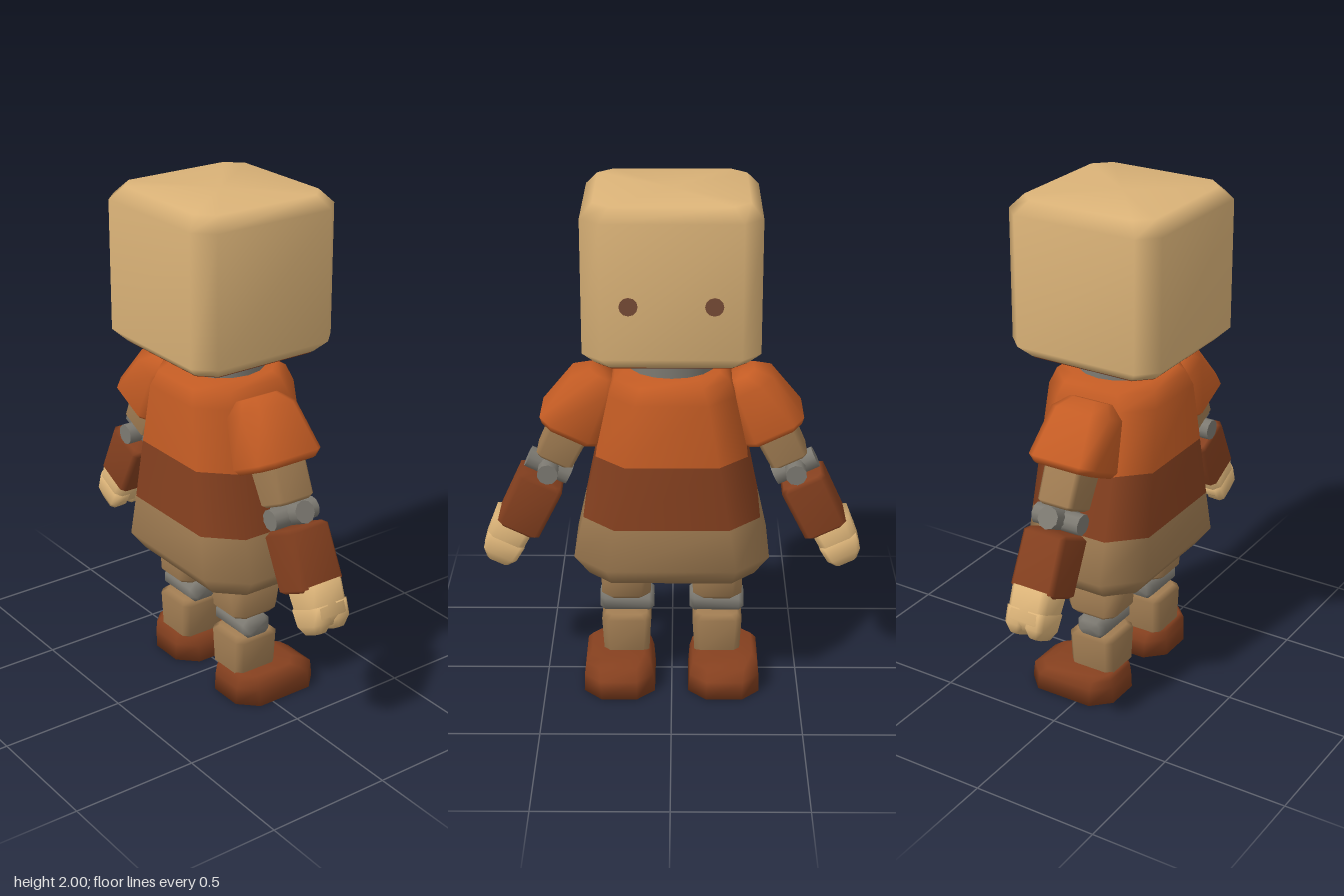
import * as THREE from 'three';

const mat = (name, color) => {
  const m = new THREE.MeshStandardMaterial({ color });
  m.name = name;
  return m;
};

// Stacks chamfered-rectangle rings [y, centreX, halfX, centreZ, halfZ, chamfer] from bottom to top.
// slots gives the material index of each band between rings.
function loft(rings, slots) {
  const pos = [], idx = [];
  const g = new THREE.BufferGeometry();
  for (const [y, cx, hx, cz, hz, c] of rings) {
    const outline = [[c - hx, hz], [hx - c, hz], [hx, hz - c], [hx, c - hz],
      [hx - c, -hz], [c - hx, -hz], [-hx, c - hz], [-hx, hz - c]];
    for (const [x, z] of outline) pos.push(cx + x, y, cz + z);
  }
  const n = rings.length, last = (n - 1) * 8;
  const low = n * 8, high = low + 1;
  for (const r of [rings[0], rings[n - 1]]) pos.push(r[1], r[0], r[3]);
  const slot = (k) => (slots ? slots[k] : 0);
  for (let k = 0; k < n - 1; k++) {
    const start = idx.length;
    for (let i = 0; i < 8; i++) {
      const j = (i + 1) % 8, a = k * 8 + i, b = k * 8 + j;
      if (k === 0) idx.push(low, b, a);
      idx.push(a, b, b + 8, a, b + 8, a + 8);
      if (k === n - 2) idx.push(high, last + i, last + j);
    }
    g.addGroup(start, idx.length - start, slot(k));
  }
  g.setAttribute('position', new THREE.Float32BufferAttribute(pos, 3));
  g.setIndex(idx);
  g.computeVertexNormals();
  return g;
}

// Bevelled block between two heights; the upper end may be a different size.
function block(y0, y1, cx, cz, lower, upper, bevel) {
  const [ax, az] = lower, [bx, bz] = upper, c = bevel * 1.3;
  return loft([
    [y0, cx, ax - bevel, cz, az - bevel, c],
    [y0 + bevel, cx, ax, cz, az, c],
    [y1 - bevel, cx, bx, cz, bz, c],
    [y1, cx, bx - bevel, cz, bz - bevel, c],
  ]);
}

export function createModel() {
  const skin = mat('pale wood', 0xdbb378);
  const orange = mat('orange cloth', 0xc45c24);
  const rust = mat('rust cloth', 0x85401f);
  const tan = mat('tan wood', 0xa07c52);
  const grey = mat('grey joint', 0x7d7a72);
  const brown = mat('eye brown', 0x784c36);

  const model = new THREE.Group();
  model.name = 'blockFigure';
  const add = (parent, name, geometry, material) => {
    const m = new THREE.Mesh(geometry, material);
    m.name = name;
    parent.add(m);
    return m;
  };

  // Head with bevelled edges and a dark underside
  add(model, 'head', loft([
    [1.405, 0, 0.275, 0, 0.28, 0.06],
    [1.45, 0, 0.32, 0, 0.325, 0.07],
    [1.95, 0, 0.32, 0, 0.325, 0.07],
    [2.0, 0, 0.275, 0, 0.28, 0.06],
  ]), skin);
  add(model, 'headUnderside', loft([
    [1.4, 0, 0.27, 0, 0.275, 0.06],
    [1.406, 0, 0.27, 0, 0.275, 0.06],
  ]), rust);
  for (const s of [1, -1]) {
    const eye = add(model, 'eye', new THREE.CylinderGeometry(0.034, 0.034, 0.006, 12), brown);
    eye.rotation.z = -Math.PI / 2;
    eye.position.set(0.32, 1.65, s * 0.153);
  }

  // Neck
  const neck = add(model, 'neck', new THREE.CylinderGeometry(0.165, 0.165, 0.16, 16), grey);
  neck.position.set(0.005, 1.35, 0);

  // Flared tunic in three colour bands
  add(model, 'tunic', loft([
    [0.503, 0.01, 0.215, 0, 0.32, 0.09],
    [0.58, 0.01, 0.272, 0, 0.376, 0.13],
    [0.75, 0.01, 0.263, 0, 0.338, 0.12],
    [1.0, 0.007, 0.25, 0, 0.287, 0.11],
    [1.24, 0.005, 0.237, 0, 0.236, 0.1],
    [1.3, 0.004, 0.215, 0, 0.215, 0.1],
    [1.322, 0.003, 0.18, 0, 0.18, 0.08],
  ], [0, 0, 1, 2, 2, 2]), [tan, rust, orange]);

  for (const s of [1, -1]) {
    // Arm, hanging along its own -y and swung outwards
    const arm = new THREE.Group();
    arm.name = s > 0 ? 'armPositiveZ' : 'armNegativeZ';
    arm.position.set(-0.03, 1.247, s * 0.31);
    arm.rotation.x = -s * 0.45;
    model.add(arm);

    add(arm, 'sleeve', loft([
      [-0.215, 0, 0.125, -s * 0.01, 0.11, 0.04],
      [-0.19, 0, 0.145, -s * 0.005, 0.125, 0.045],
      [0.0, 0, 0.125, -s * 0.02, 0.098, 0.05],
      [0.05, 0, 0.08, -s * 0.03, 0.055, 0.035],
    ]), orange);
    add(arm, 'upperArm', block(-0.355, -0.15, 0, -s * 0.008, [0.077, 0.075], [0.08, 0.082], 0.012), tan);

    // Elbow of two crossed bars
    const across = add(arm, 'elbowBarAcross', new THREE.CylinderGeometry(0.043, 0.043, 0.175, 10), grey);
    across.rotation.x = Math.PI / 2;
    across.position.set(0, -0.397, -s * 0.005);
    const along = add(arm, 'elbowBarAlong', new THREE.CylinderGeometry(0.041, 0.041, 0.2, 10), grey);
    along.rotation.z = Math.PI / 2;
    along.position.set(0, -0.397, -s * 0.005);

    add(arm, 'forearm', block(-0.68, -0.445, 0, 0, [0.095, 0.088], [0.092, 0.092], 0.014), rust);

    // Hand with two blunt finger lumps
    add(arm, 'palm', loft([
      [-0.822, 0, 0.055, s * 0.015, 0.045, 0.018],
      [-0.785, 0, 0.08, s * 0.02, 0.074, 0.025],
      [-0.66, 0, 0.083, s * 0.022, 0.082, 0.025],
    ]), skin);
    for (const f of [-1, 1]) {
      add(arm, 'finger', loft([
        [-0.84, f * 0.042, 0.026, s * 0.014, 0.045, 0.014],
        [-0.805, f * 0.042, 0.041, s * 0.018, 0.07, 0.018],
        [-0.74, f * 0.042, 0.041, s * 0.02, 0.078, 0.018],
      ]), skin);
    }

    // Leg
    const leg = new THREE.Group();
    leg.name = s > 0 ? 'legPositiveZ' : 'legNegativeZ';
    model.add(leg);
    add(leg, 'thigh', loft([
      [0.355, -0.015, 0.085, s * 0.18, 0.08, 0.03],
      [0.375, -0.015, 0.107, s * 0.18, 0.096, 0.035],
      [0.54, -0.005, 0.13, s * 0.176, 0.102, 0.04],
    ]), tan);
    const knee = add(leg, 'knee', loft([
      [-0.108, 0, 0.045, 0, 0.03, 0.014],
      [-0.088, 0, 0.063, 0, 0.043, 0.025],
      [0.088, 0, 0.063, 0, 0.043, 0.025],
      [0.108, 0, 0.045, 0, 0.03, 0.014],
    ]), grey);
    knee.rotation.x = Math.PI / 2;
    knee.position.set(-0.027, 0.315, s * 0.178);
    add(leg, 'shin', block(0.1, 0.275, -0.018, s * 0.18, [0.095, 0.09], [0.098, 0.098], 0.018), tan);
    add(leg, 'shoe', loft([
      [0, 0.06, 0.19, s * 0.206, 0.14, 0.07],
      [0.07, 0.056, 0.183, s * 0.208, 0.136, 0.065],
      [0.105, 0.035, 0.157, s * 0.212, 0.128, 0.055],
      [0.124, 0.018, 0.128, s * 0.214, 0.105, 0.045],
    ]), rust);
  }
  return model;
}
